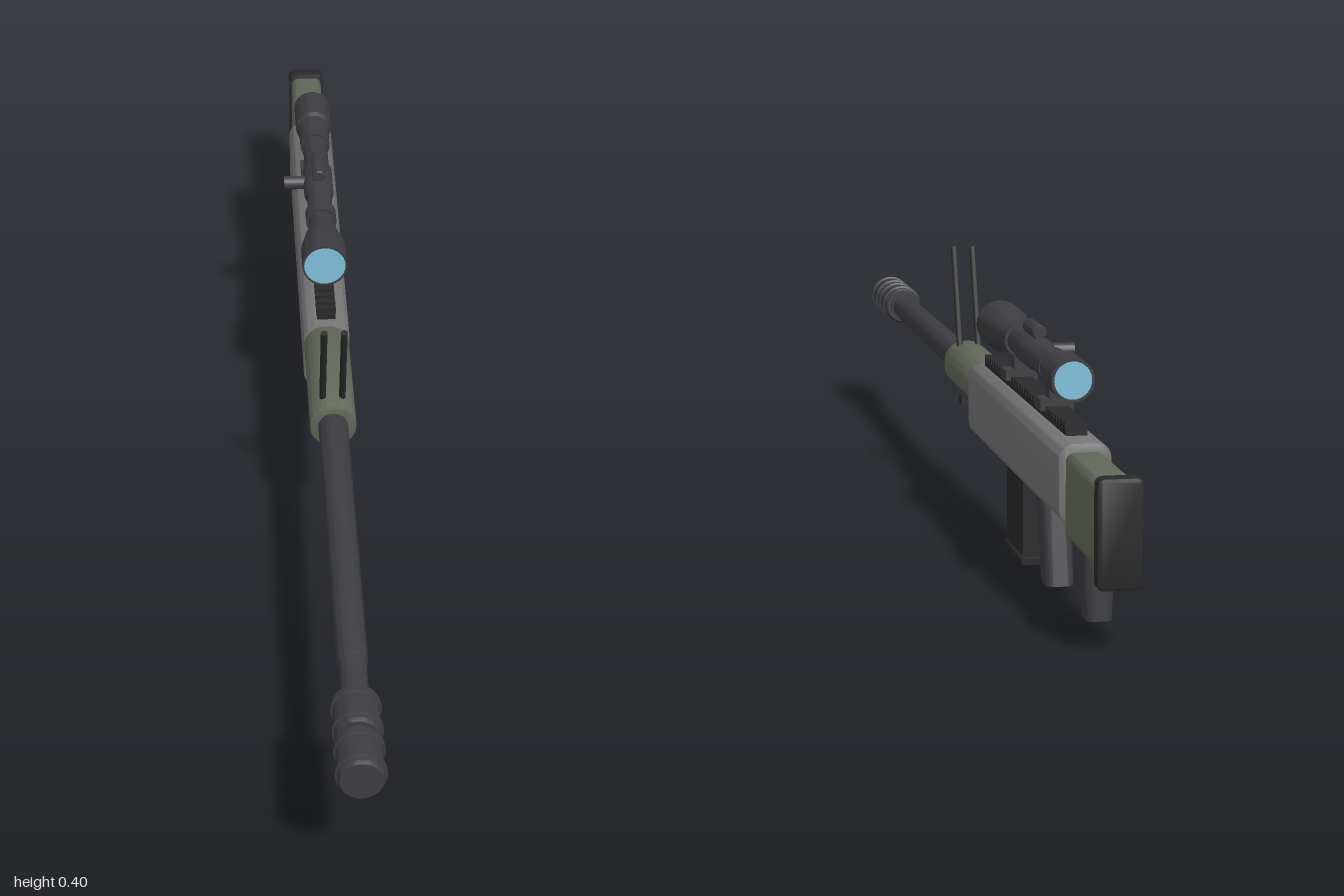
import * as THREE from 'three';
import { toCreasedNormals } from 'three/addons/utils/BufferGeometryUtils.js';

const mat = (color) => new THREE.MeshStandardMaterial({ color });

// Rounded rectangle centred on the origin
function roundRect(w, h, r) {
  const s = new THREE.Shape(), x = w / 2, y = h / 2;
  s.moveTo(-x + r, -y);
  s.lineTo(x - r, -y);
  s.absarc(x - r, -y + r, r, -Math.PI / 2, 0);
  s.lineTo(x, y - r);
  s.absarc(x - r, y - r, r, 0, Math.PI / 2);
  s.lineTo(-x + r, y);
  s.absarc(-x + r, y - r, r, Math.PI / 2, Math.PI);
  s.lineTo(-x, -y + r);
  s.absarc(-x + r, -y + r, r, Math.PI, Math.PI * 1.5);
  return s;
}

export function createModel() {
  const root = new THREE.Group();
  const gun = new THREE.Group();
  gun.name = 'rifle';
  gun.position.x = 0.0085;
  root.add(gun);

  const dark = mat(0x3d3d41), black = mat(0x29292b), grey = mat(0x727372);
  const green = mat(0x62685a), glass = mat(0x7fc0da);

  const add = (name, geo, material, x = 0, y = 0, z = 0) => {
    const m = new THREE.Mesh(geo, material);
    m.name = name;
    m.position.set(x, y, z);
    gun.add(m);
    return m;
  };
  const box = (name, material, w, y0, y1, z0, z1, x = 0) =>
    add(name, new THREE.BoxGeometry(w, y1 - y0, z1 - z0), material, x, (y0 + y1) / 2, (z0 + z1) / 2);

  // Rounded bar running along z, with a small bevel at both ends
  const bar = (name, material, w, y0, y1, z0, z1, r, bevel = 0.004) => {
    const g = new THREE.ExtrudeGeometry(roundRect(w - 2 * bevel, y1 - y0 - 2 * bevel, r), {
      depth: z1 - z0 - 2 * bevel, bevelThickness: bevel, bevelSize: bevel, bevelSegments: 2, curveSegments: 6,
    });
    return add(name, toCreasedNormals(g, 0.6), material, 0, (y0 + y1) / 2, z0 + bevel);
  };

  // Turned part along z from [radius, z] pairs, z increasing
  const turned = (name, material, y, profile) => {
    const g = new THREE.LatheGeometry(profile.map(([r, z]) => new THREE.Vector2(r, z)), 28);
    g.rotateX(Math.PI / 2);
    return add(name, toCreasedNormals(g, 0.5), material, 0, y, 0);
  };

  // Upright grip, scaled and shifted toward its lower end
  const grip = (name, w, d, y0, y1, zTop, zBottom, taper) => {
    const g = new THREE.ExtrudeGeometry(roundRect(w, d, 0.014), { depth: y1 - y0, bevelEnabled: false, curveSegments: 5 });
    g.rotateX(-Math.PI / 2);
    const p = g.attributes.position;
    for (let i = 0; i < p.count; i++) {
      const t = 1 - p.getY(i) / (y1 - y0);
      const s = 1 - t * (1 - taper);
      p.setXYZ(i, p.getX(i) * s, p.getY(i), p.getZ(i) * s + zTop + (zBottom - zTop) * t);
    }
    g.computeVertexNormals();
    return add(name, toCreasedNormals(g, 0.6), dark, 0, y0, 0);
  };

  // Rod between two points
  const rod = (name, material, a, b, r) => {
    const g = new THREE.TubeGeometry(new THREE.LineCurve3(new THREE.Vector3(...a), new THREE.Vector3(...b)), 1, r, 10);
    add(name, g, material);
    for (const [p, q] of [[a, b], [b, a]]) {
      const cap = add(name + 'Cap', new THREE.CircleGeometry(r, 10), material, ...p);
      const dir = new THREE.Vector3(...p).sub(new THREE.Vector3(...q)).normalize();
      cap.quaternion.setFromUnitVectors(new THREE.Vector3(0, 0, 1), dir);
    }
  };

  // Receiver, handguard and stock
  bar('receiver', grey, 0.075, 0.13, 0.244, -0.78, -0.08, 0.018);
  bar('handguard', green, 0.073, 0.171, 0.245, -0.085, 0.153, 0.029);
  bar('stock', green, 0.054, 0.11, 0.231, -0.978, -0.775, 0.008);
  bar('buttPad', black, 0.062, 0.088, 0.238, -1, -0.974, 0.006);

  // Barrel and muzzle brake
  const axis = 0.208;
  turned('barrel', dark, axis, [[0, 0.12], [0.0235, 0.12], [0.0225, 0.745], [0.02, 0.752], [0.02, 0.85], [0, 0.85]]);
  turned('brakeCore', dark, axis, [[0, 0.82], [0.023, 0.82], [0.023, 0.94], [0, 0.94]]);
  for (const z of [0.83, 0.919]) {
    turned('brakeChamber', dark, axis, [
      [0, z], [0.029, z], [0.033, z + 0.005], [0.033, z + 0.075], [0.03, z + 0.081], [0, z + 0.081]]);
    for (const dz of [0.017, 0.064]) {
      turned('brakeRing', dark, axis, [
        [0.03, z + dz - 0.005], [0.036, z + dz - 0.003], [0.036, z + dz + 0.003], [0.03, z + dz + 0.005]]);
    }
  }

  // Raised bipod legs and their hinge
  box('bipodHinge', black, 0.04, 0.149, 0.164, 0.08, 0.105);
  box('bipodHingeNeck', dark, 0.022, 0.16, 0.178, 0.085, 0.1);
  for (const x of [-0.0155, 0.0155]) rod('bipodLeg', black, [x, 0.225, 0.116], [x, 0.398, 0.179], 0.0052);

  // Toothed top rail
  box('rail', black, 0.03, 0.24, 0.254, -0.725, -0.105);
  for (let i = 0; i < 31; i++) {
    const z = -0.715 + i * 0.02;
    box('railTooth', black, 0.032, 0.252, 0.262, z - 0.006, z + 0.006);
  }

  // Scope with lenses, turrets and mounts
  const sy = 0.317;
  turned('scopeTube', dark, sy, [
    [0, -0.698], [0.027, -0.698], [0.027, -0.7], [0.031, -0.7], [0.031, -0.625], [0.027, -0.618],
    [0.027, -0.6], [0.021, -0.57], [0.021, -0.475], [0.025, -0.465], [0.025, -0.39], [0.021, -0.38],
    [0.021, -0.28], [0.024, -0.265], [0.035, -0.215], [0.037, -0.205], [0.037, -0.152], [0.034, -0.152], [0.034, -0.155], [0, -0.155]]);
  add('frontLens', new THREE.CircleGeometry(0.034, 28), glass, 0, sy, -0.153);
  add('rearLens', new THREE.CircleGeometry(0.027, 28), glass, 0, sy, -0.699).rotation.y = Math.PI;
  turned('topTurret', dark, 0.349, [[0, -0.466], [0.009, -0.466], [0.011, -0.463], [0.011, -0.393], [0.009, -0.39], [0, -0.39]]);
  box('topTurretBase', dark, 0.014, 0.325, 0.35, -0.45, -0.406);
  const knob = new THREE.CylinderGeometry(0.0115, 0.0115, 0.048, 20);
  knob.rotateZ(Math.PI / 2);
  add('sideTurret', knob, dark, -0.034, sy, -0.43);
  for (const z of [-0.31, -0.57]) {
    box('mountPost', dark, 0.02, 0.26, 0.3, z - 0.014, z + 0.014);
    box('mountClamp', dark, 0.048, 0.256, 0.272, z - 0.019, z + 0.019);
    turned('mountRing', dark, sy, [
      [0.02, z - 0.015], [0.0255, z - 0.015], [0.0255, z + 0.015], [0.02, z + 0.015]]);
  }

  // Magazine
  box('magazine', black, 0.043, 0.008, 0.14, -0.45, -0.326);
  bar('magazineBase', black, 0.051, 0, 0.013, -0.456, -0.32, 0.002, 0.002);

  // Grips
  grip('pistolGrip', 0.046, 0.058, 0.006, 0.14, -0.566, -0.596, 0.88);
  grip('rearGrip', 0.046, 0.052, 0.018, 0.115, -0.853, -0.859, 0.78);

  // Trigger guard
  const guard = [[0.135, -0.479], [0.079, -0.479], [0.079, -0.56]];
  for (let i = 0; i < 2; i++) rod('triggerGuard', black, [0, ...guard[i]], [0, ...guard[i + 1]], 0.0035);

  return root;
}
